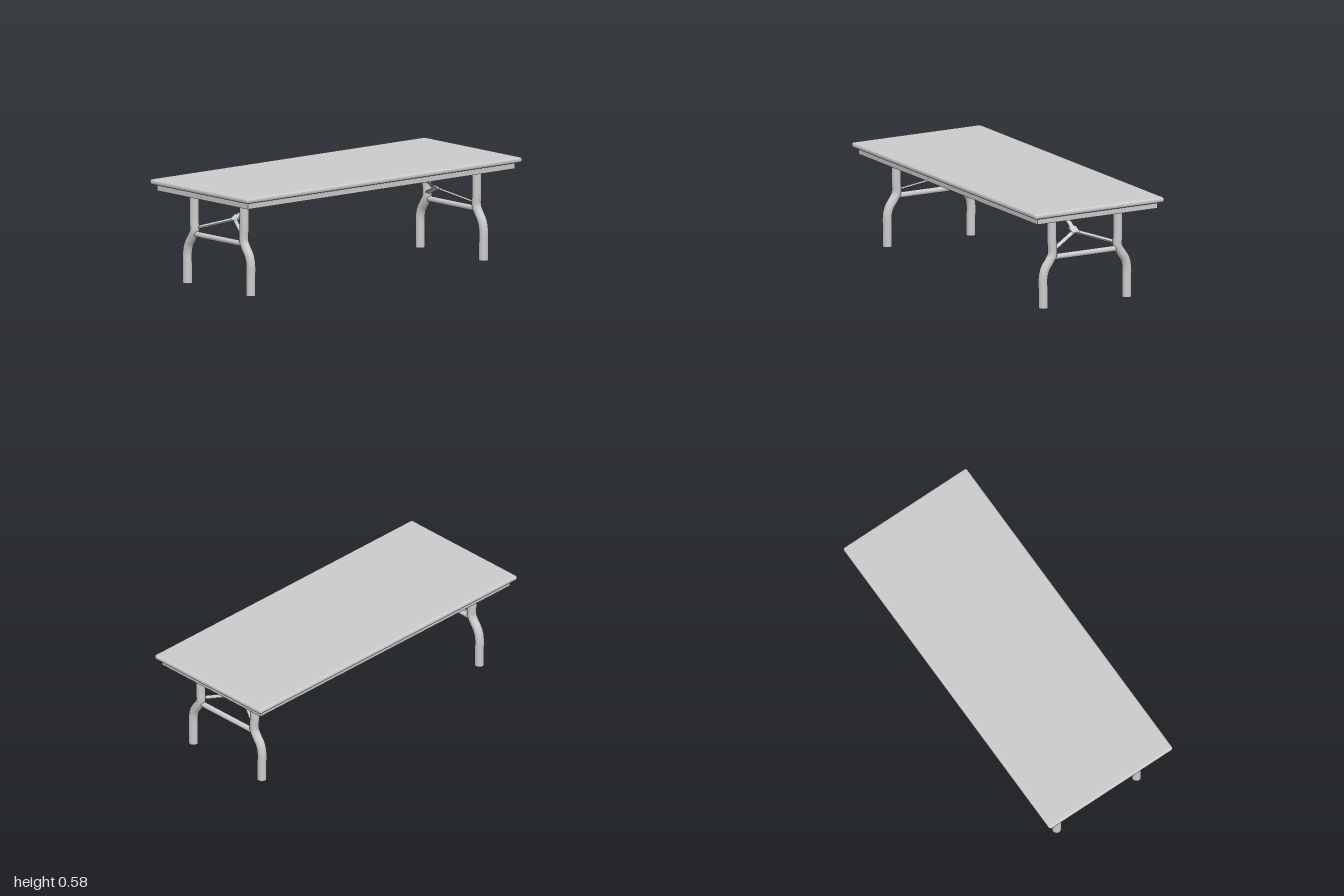
import * as THREE from 'three';
import { RoundedBoxGeometry } from 'three/addons/geometries/RoundedBoxGeometry.js';

const grey = new THREE.MeshStandardMaterial({ color: 0xcccccc });
const greyOpen = new THREE.MeshStandardMaterial({ color: 0xcccccc, side: THREE.DoubleSide });

function add(parent, name, geometry, x = 0, y = 0, z = 0, material = grey) {
  const mesh = new THREE.Mesh(geometry, material);
  mesh.name = name;
  mesh.position.set(x, y, z);
  parent.add(mesh);
  return mesh;
}

// Bent leg tube, open at its ends; side is +1 or -1 along z
function legGeometry(side) {
  const profile = [
    [0, 0.267], [0.09, 0.267], [0.175, 0.267], [0.22, 0.255], [0.26, 0.228],
    [0.295, 0.209], [0.37, 0.2105], [0.44, 0.2105], [0.512, 0.2105],
  ];
  const curve = new THREE.CatmullRomCurve3(
    profile.map(([y, z]) => new THREE.Vector3(0, y, z * side)), false, 'centripetal');
  return new THREE.TubeGeometry(curve, 32, 0.0265, 20, false);
}

// Flat Y-shaped folding brace, laid out in its own plane then tilted
function createBrace() {
  const brace = new THREE.Group();
  brace.name = 'foldingBrace';
  add(brace, 'braceHub', new THREE.BoxGeometry(0.05, 0.012, 0.048));
  add(brace, 'braceStem', new THREE.BoxGeometry(0.266, 0.005, 0.03), -0.133);
  for (const side of [1, -1]) {
    const start = new THREE.Vector3(0.015, 0, 0.012 * side);
    const end = new THREE.Vector3(0.128, 0, 0.195 * side);
    const mid = start.clone().add(end).multiplyScalar(0.5);
    const arm = add(brace, 'braceArm',
      new THREE.BoxGeometry(start.distanceTo(end), 0.01, 0.022), mid.x, 0, mid.z);
    arm.rotation.y = -Math.atan2(end.z - start.z, end.x - start.x);
  }
  brace.position.set(-0.119, 0.385, 0);
  brace.rotation.z = -Math.atan(0.618);
  return brace;
}

// Pair of legs with crossbars and brace; the brace leans toward -x
function createLegSet(name) {
  const set = new THREE.Group();
  set.name = name;
  for (const side of [1, -1]) add(set, 'leg', legGeometry(side), 0, 0, 0, greyOpen);
  const bars = [['upperCrossbar', 0.498, 0.0135], ['lowerCrossbar', 0.2815, 0.0165]];
  for (const [barName, y, radius] of bars) {
    const bar = new THREE.CylinderGeometry(radius, radius, 0.4, 16).rotateX(Math.PI / 2);
    add(set, barName, bar, 0, y, 0);
  }
  set.add(createBrace());
  return set;
}

export function createModel() {
  const table = new THREE.Group();
  table.name = 'foldingTable';

  // Top with rounded rim
  add(table, 'tableTop', new RoundedBoxGeometry(2, 0.031, 0.828, 4, 0.014), 0, 0.5625, 0);

  // Hollow apron frame under the top
  const t = 0.015, w = 0.969, d = 0.384;
  for (const side of [1, -1]) {
    add(table, 'longApron', new THREE.BoxGeometry(2 * w, 0.037, t), 0, 0.5305, side * (d - t / 2));
    add(table, 'shortApron', new THREE.BoxGeometry(t, 0.037, 2 * (d - t)), side * (w - t / 2), 0.5305, 0);
  }

  // Leg sets at both ends, braces pointing inward
  const left = createLegSet('leftLegSet');
  left.position.set(0.838, 0, 0.003);
  const right = createLegSet('rightLegSet');
  right.position.set(-0.85, 0, 0.003);
  right.rotation.y = Math.PI;
  table.add(left, right);
  return table;
}
